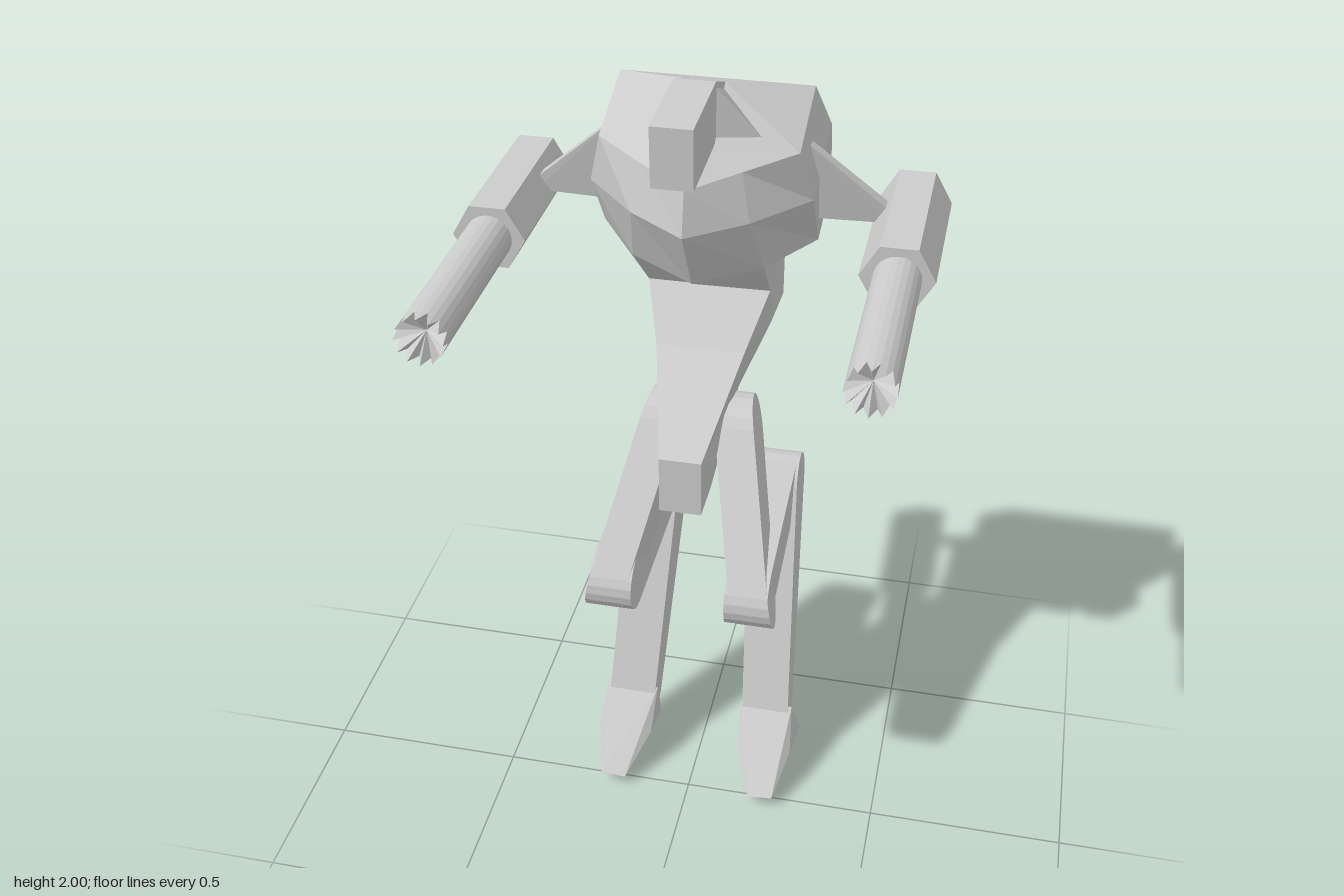
import * as THREE from 'three';
import { ConvexGeometry } from 'three/addons/geometries/ConvexGeometry.js';

const material = new THREE.MeshStandardMaterial({ color: 0xcccccc, flatShading: true });

function part(name, geometry) {
  const mesh = new THREE.Mesh(geometry, material);
  mesh.name = name;
  return mesh;
}

// Convex block from left-hand corner points, mirrored by s
function block(name, corners, s = 1) {
  return part(name, new ConvexGeometry(corners.map(([x, y, z]) => new THREE.Vector3(x * s, y, z))));
}

// Plate with a [z, y] outline and a thickness along x
function plate(outline, width) {
  const shape = new THREE.Shape(outline.map(([z, y]) => new THREE.Vector2(-z, y)));
  const geo = new THREE.ExtrudeGeometry(shape, { depth: width, bevelEnabled: false });
  return geo.translate(0, 0, -width / 2).rotateY(Math.PI / 2);
}

// Tapered limb with round ends; a and b are { x, y, z, r }
function limb(name, a, b, width, s) {
  const dz = b.z - a.z, dy = b.y - a.y, d = Math.hypot(dz, dy);
  const dir = Math.atan2(dy, dz), phi = Math.acos((a.r - b.r) / d), n = 10;
  const outline = [];
  const arc = (e, from, to) => {
    for (let i = 0; i <= n; i++) {
      const t = from + (to - from) * i / n;
      outline.push([e.z + e.r * Math.cos(t), e.y + e.r * Math.sin(t)]);
    }
  };
  arc(b, dir - phi, dir + phi);
  arc(a, dir + phi, dir + 2 * Math.PI - phi);
  const geo = plate(outline, width);
  // Lean the limb sideways along its length
  const p = geo.attributes.position;
  for (let i = 0; i < p.count; i++) {
    const t = ((p.getZ(i) - a.z) * dz + (p.getY(i) - a.y) * dy) / (d * d);
    p.setX(i, p.getX(i) + s * (a.x + (b.x - a.x) * t));
  }
  geo.computeVertexNormals();
  return part(name, geo);
}

// Hunched torso: half rings ordered back, side, front corner, front centre
function torso() {
  const half = [
    [[.22, 1.91, -.30], [.22, 1.84, -.10], [.11, 1.82, -.025], [0, 1.80, .05]],
    [[.25, 1.79, -.38], [.25, 1.72, -.13], [.13, 1.71, -.01], [0, 1.70, .07]],
    [[.25, 1.62, -.43], [.25, 1.57, -.24], [.15, 1.56, -.10], [0, 1.54, -.03]],
    [[.145, 1.49, -.44], [.145, 1.46, -.335], [.145, 1.43, -.23], [0, 1.43, -.23]],
    [[.145, 1.31, -.44], [.14, 1.31, -.30], [.105, 1.315, -.13], [0, 1.315, -.13]],
    [[.07, 1.16, -.365], [.065, 1.15, -.14], [.05, 1.145, .095], [0, 1.145, .095]],
    [[.05, 1.0, -.02], [.05, 1.0, .04], [.05, 1.0, .095], [0, 1.0, .095]],
  ];
  const mirror = ([x, y, z]) => [-x, y, z];
  const rings = half.map((h) => [...h, ...h.slice(0, 3).reverse().map(mirror)]);
  const out = [];
  const tri = (...pts) => pts.forEach((p) => out.push(...p));
  for (let r = 0; r < rings.length - 1; r++) {
    for (let i = 0; i < 7; i++) {
      const j = (i + 1) % 7, a = rings[r], b = rings[r + 1];
      tri(a[i], a[j], b[i]);
      tri(a[j], b[j], b[i]);
    }
  }
  // Shoulder top, rising to the neck and dipping at the throat
  const [back, side, corner, front] = half[0];
  const nape = [.045, 1.96, -.16], throat = [.045, 1.865, -.05];
  const top = [[back, nape, side], [nape, throat, side], [throat, corner, side], [throat, front, corner]];
  for (const [a, b, c] of top) {
    tri(a, b, c);
    tri(mirror(a), mirror(c), mirror(b));
  }
  tri(throat, mirror(throat), front);
  tri(nape, mirror(nape), throat);
  tri(mirror(nape), mirror(throat), throat);
  tri(back, mirror(back), nape);
  tri(mirror(back), mirror(nape), nape);
  // Underside
  const end = rings[rings.length - 1];
  for (let i = 1; i < 6; i++) tri(end[0], end[i], end[i + 1]);
  const geo = new THREE.BufferGeometry();
  geo.setAttribute('position', new THREE.Float32BufferAttribute(out, 3));
  geo.computeVertexNormals();
  return part('torso', geo);
}

// Gun barrel along z with a toothed muzzle
function barrel() {
  const sides = 24, length = 0.465;
  const geo = new THREE.CylinderGeometry(.053, .053, length, sides).rotateX(Math.PI / 2).translate(0, 0, length / 2);
  const p = geo.attributes.position;
  for (let i = 0; i < p.count; i++) {
    if (p.getZ(i) < length - .01) continue;
    const k = Math.round(Math.atan2(p.getY(i), p.getX(i)) / (2 * Math.PI / sides));
    if (Math.hypot(p.getX(i), p.getY(i)) < .01) p.setZ(i, .41);
    else if (k % 2) p.setZ(i, .43);
  }
  geo.computeVertexNormals();
  return part('barrel', geo);
}

function arm(s) {
  const g = new THREE.Group();
  g.name = s > 0 ? 'leftArm' : 'rightArm';
  g.add(block('shoulderStrut', [
    [.20, 1.85, -.175], [.20, 1.85, -.20], [.22, 1.63, -.225], [.22, 1.63, -.255],
    [.41, 1.66, -.23], [.41, 1.66, -.265], [.41, 1.63, -.235], [.41, 1.63, -.265],
  ], s));
  const casing = part('gunCasing', new THREE.CylinderGeometry(.083, .083, .385, 6)
    .rotateX(Math.PI / 2).rotateZ(Math.PI / 6).translate(0, 0, -.1925));
  const gun = new THREE.Group();
  gun.name = 'gun';
  gun.position.set(s * .452, 1.62, 0);
  gun.add(casing, barrel());
  g.add(gun);
  return g;
}

function leg(s) {
  const g = new THREE.Group();
  g.name = s > 0 ? 'leftLeg' : 'rightLeg';
  const hip = { x: .09, y: 1.08, z: -.165, r: .09 };
  const knee = { x: .17, y: .755, z: .06, r: .077 };
  const heel = { x: .155, y: .79, z: -.387, r: .073 };
  const ankle = { x: .185, y: .165, z: -.165, r: .045 };
  g.add(
    limb('thigh', hip, knee, .095, s),
    limb('shin', { ...knee, x: .165 }, { ...heel, r: .07 }, .105, s),
    limb('lowerLeg', heel, ankle, .125, s),
    block('foot', [
      [.117, .21, -.14], [.255, .21, -.14], [.125, .17, -.185], [.25, .17, -.185],
      [.13, .04, -.23], [.27, .06, -.225], [.12, .11, -.07], [.265, .11, -.07],
      [.17, .03, .037], [.235, .035, .037], [.16, 0, -.10], [.24, .012, -.10],
    ], s),
  );
  return g;
}

export function createModel() {
  const model = new THREE.Group();
  model.name = 'walker';
  model.add(torso());
  // Snout-like head with a small fin on its left side
  model.add(part('head', plate([
    [.165, 1.99], [-.06, 2.0], [-.16, 1.96], [-.20, 1.88], [-.04, 1.865], [.16, 1.855],
  ], .09)));
  model.add(block('headFin', [[.04, 1.99, -.065], [.145, 1.86, -.10], [.04, 1.86, -.06], [.04, 1.95, -.16]]));
  for (const s of [1, -1]) model.add(arm(s), leg(s));
  return model;
}
